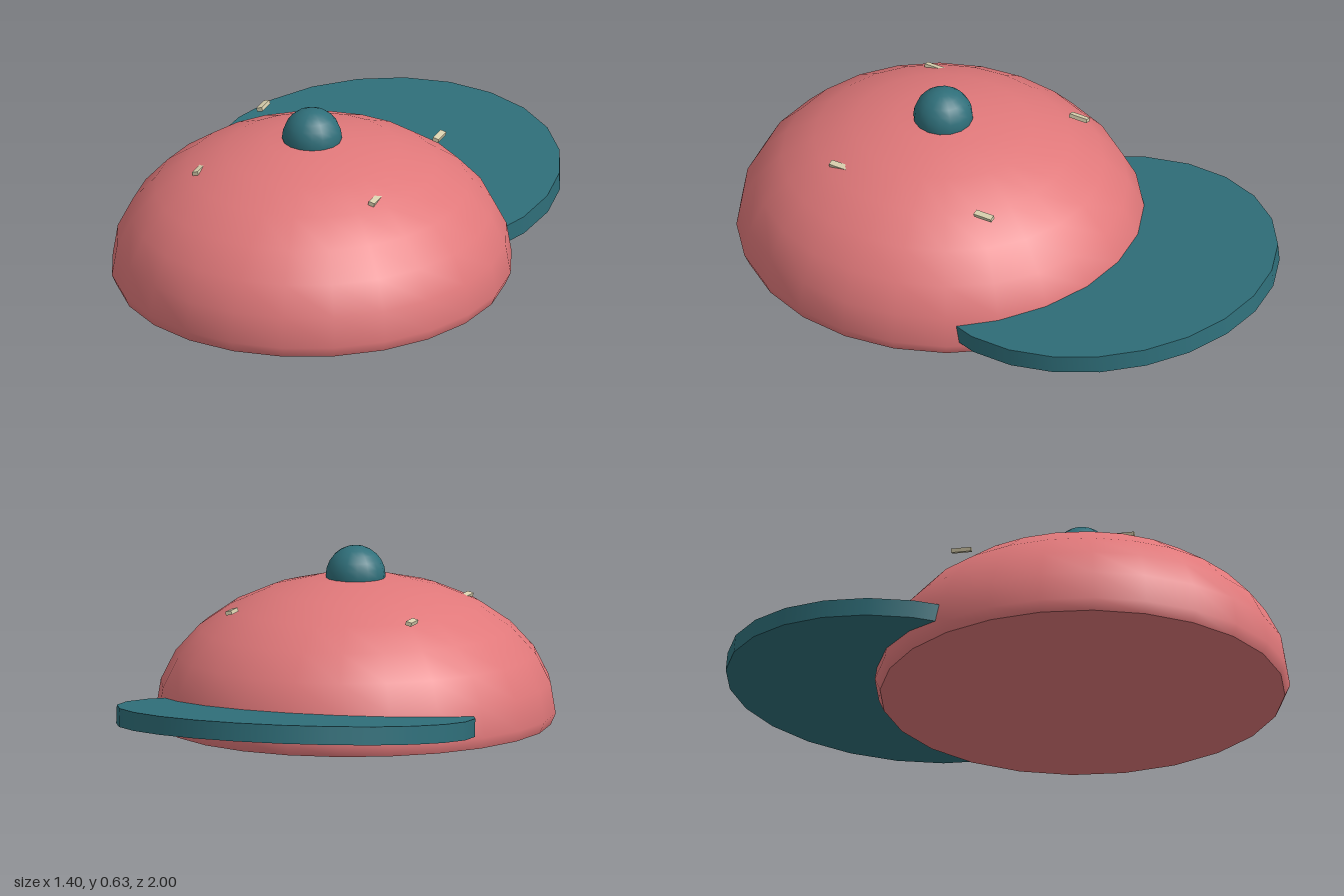
import * as THREE from 'three';

const SIDES = 24;
const DOME = { rx: 0.7, ry: 0.485, rz: 0.73, y: 0.04, z: 0.265 };

const coral = new THREE.MeshStandardMaterial({ color: 0xe0787a });
coral.name = 'coral cloth';
const teal = new THREE.MeshStandardMaterial({ color: 0x2f6f7a });
teal.name = 'teal cloth';
const cream = new THREE.MeshStandardMaterial({ color: 0xd8cfae });
cream.name = 'cream thread';

function addMesh(parent, name, geometry, material, x = 0, y = 0, z = 0) {
  const mesh = new THREE.Mesh(geometry, material);
  mesh.name = name;
  mesh.position.set(x, y, z);
  parent.add(mesh);
  return mesh;
}

export function createModel() {
  const cap = new THREE.Group();
  cap.name = 'cap';

  // Crown: elliptical dome whose lowest ring tucks in flat to the ground
  const crown = new THREE.Group();
  crown.name = 'crown';
  crown.position.z = DOME.z;
  crown.scale.z = DOME.rz / DOME.rx;
  cap.add(crown);

  const profile = [];
  for (let i = -1; i <= 7; i++) {
    const a = (i * Math.PI) / 14;
    const r = i === 7 ? 0 : DOME.rx * Math.cos(a);
    profile.push(new THREE.Vector2(r, Math.max(0, DOME.y + DOME.ry * Math.sin(a))));
  }
  addMesh(crown, 'crownShell', new THREE.LatheGeometry(profile, SIDES), coral);
  const base = new THREE.CircleGeometry(profile[0].x, SIDES).rotateX(Math.PI / 2);
  addMesh(crown, 'crownBase', base, coral);

  // Brim: tilted disc running into the crown
  const brim = addMesh(cap, 'brim', new THREE.CylinderGeometry(0.63, 0.63, 0.065, SIDES), teal, 0, 0.11, -0.37);
  brim.rotation.x = 0.1;

  // Button on top of the crown
  addMesh(cap, 'topButton', new THREE.SphereGeometry(0.105, 16, 12), teal, 0, 0.525, 0.263);

  // Eyelets: four small stitched bars, mirrored left and right
  for (const side of [-1, 1]) {
    for (const z of [-0.095, 0.49]) {
      const name = (side > 0 ? 'left' : 'right') + (z > 0 ? 'Front' : 'Back') + 'Eyelet';
      const bar = addMesh(cap, name, new THREE.BoxGeometry(0.022, 0.014, 0.07), cream, side * 0.334, 0.434, z);
      bar.rotation.z = -side * 0.25;
    }
  }

  return cap;
}
